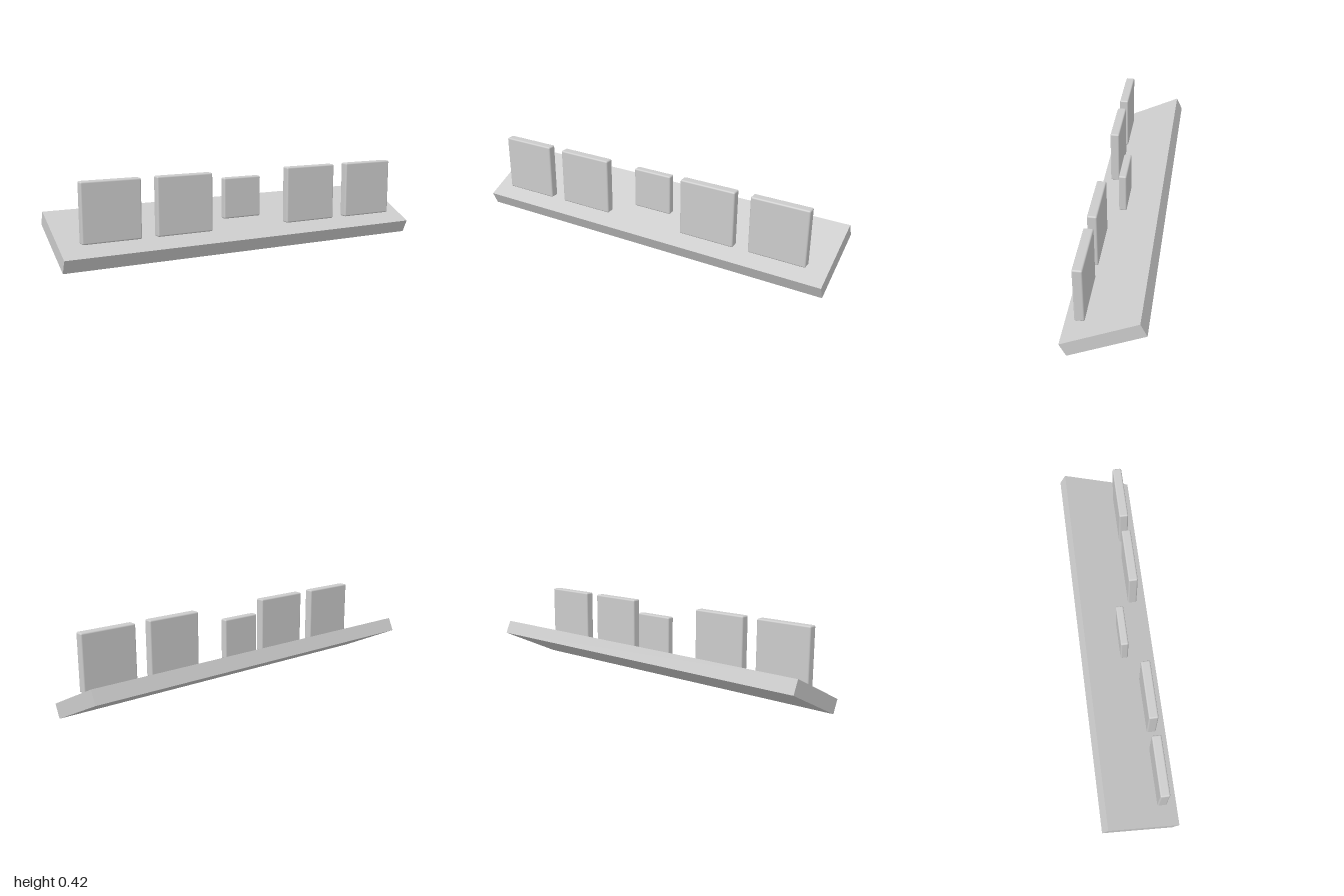
import * as THREE from 'three';
import { RoundedBoxGeometry } from 'three/addons/geometries/RoundedBoxGeometry.js';

export function createModel() {
  const model = new THREE.Group();
  const material = new THREE.MeshStandardMaterial({ color: 0xcccccc });

  const add = (name, geometry, x, y, z) => {
    const mesh = new THREE.Mesh(geometry, material);
    mesh.name = name;
    mesh.position.set(x, y, z);
    model.add(mesh);
    return mesh;
  };

  // Sloping board, low edge at the front
  const board = add('board', new THREE.BoxGeometry(2, 0.075, 0.4), 0, 0.1185, 0);
  board.rotation.x = THREE.MathUtils.degToRad(25);

  // Two large upright tiles on each side
  const largeTile = new RoundedBoxGeometry(0.298, 0.298, 0.048, 3, 0.008);
  for (const [side, sign] of [['left', 1], ['right', -1]]) {
    add(`${side}InnerTile`, largeTile, sign * 0.369, 0.267, 0.12);
    add(`${side}OuterTile`, largeTile, sign * 0.749, 0.267, 0.12);
  }

  // Small tile in the middle, set further back
  add('centreTile', new RoundedBoxGeometry(0.215, 0.215, 0.04, 3, 0.008), 0, 0.262, 0.032);

  return model;
}
